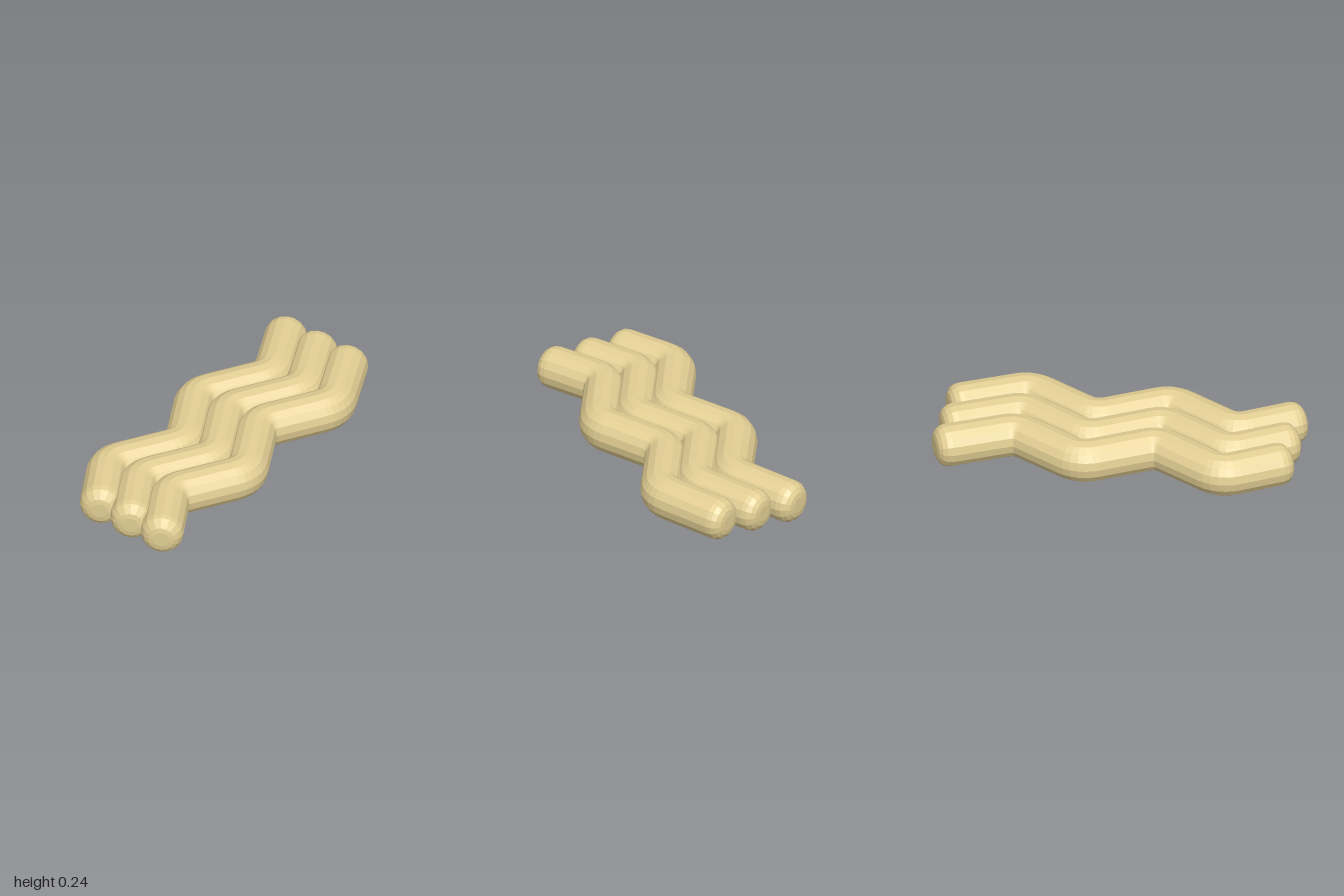
import * as THREE from 'three';

const SIDES = 16, HALF_HEIGHT = 0.12, HALF_WIDTH = 0.118, CAP = 0.075, CAP_STEPS = 4;
const BEND = 0.08, BEND_STEPS = 6, SPACING = 0.211;

// Zigzag centre line: tip, four corners, tip (x, z)
const ZIGZAG = [[-0.967, 0.1], [-0.62, -0.111], [-0.23, 0.111], [0.16, -0.111], [0.55, 0.111], [0.97, -0.104]]
  .map(([x, z]) => new THREE.Vector3(x, 0, z));

// Rings along the zigzag: rounded cap, softened corners, rounded cap
function makeRings() {
  const rings = [];
  const cap = (tip, inward, tangent) => {
    const list = [{ p: tip, t: tangent, s: 0 }];
    for (let k = 0; k <= CAP_STEPS; k++) {
      const a = (k / CAP_STEPS) * Math.PI / 2;
      list.push({
        p: tip.clone().addScaledVector(inward, CAP * (1 - Math.cos(a))),
        t: tangent,
        s: 1 - (CAP / HALF_HEIGHT) * (1 - Math.sin(a)),
      });
    }
    return list;
  };
  const dir = (a, b) => b.clone().sub(a).normalize();
  const last = ZIGZAG.length - 1;

  const startDir = dir(ZIGZAG[0], ZIGZAG[1]);
  rings.push(...cap(ZIGZAG[0], startDir, startDir));
  for (let i = 1; i < last; i++) {
    const c = ZIGZAG[i];
    const bend = new THREE.QuadraticBezierCurve3(
      c.clone().addScaledVector(dir(c, ZIGZAG[i - 1]), BEND), c,
      c.clone().addScaledVector(dir(c, ZIGZAG[i + 1]), BEND));
    for (let k = 0; k <= BEND_STEPS; k++) {
      rings.push({ p: bend.getPoint(k / BEND_STEPS), t: bend.getTangent(k / BEND_STEPS), s: 1 });
    }
  }
  const endDir = dir(ZIGZAG[last - 1], ZIGZAG[last]);
  rings.push(...cap(ZIGZAG[last], endDir.clone().negate(), endDir).reverse());
  return rings;
}

// Skin the rings into one closed strand
function strandGeometry() {
  const rings = makeRings(), positions = [], indices = [];
  rings.forEach(({ p, t, s }, i) => {
    for (let j = 0; j < SIDES; j++) {
      const a = (j / SIDES) * Math.PI * 2;
      const w = Math.cos(a) * HALF_WIDTH * s;
      positions.push(p.x - t.z * w, Math.sin(a) * HALF_HEIGHT * s, p.z + t.x * w);
      if (i === rings.length - 1) continue;
      const k = (j + 1) % SIDES;
      const A = i * SIDES + j, B = i * SIDES + k, C = A + SIDES, D = B + SIDES;
      if (rings[i + 1].s > 0) indices.push(A, C, D);
      if (s > 0) indices.push(A, D, B);
    }
  });
  const geometry = new THREE.BufferGeometry();
  geometry.setAttribute('position', new THREE.Float32BufferAttribute(positions, 3));
  geometry.setIndex(indices);
  geometry.computeVertexNormals();
  return geometry;
}

export function createModel() {
  const model = new THREE.Group();
  model.name = 'wavyStrands';
  const material = new THREE.MeshStandardMaterial({ color: 0xe3cf94, flatShading: true });
  const geometry = strandGeometry();

  // Three identical strands side by side
  ['backStrand', 'middleStrand', 'frontStrand'].forEach((name, i) => {
    const strand = new THREE.Mesh(geometry, material);
    strand.name = name;
    strand.position.set(0, HALF_HEIGHT, (i - 1) * SPACING);
    model.add(strand);
  });
  return model;
}
